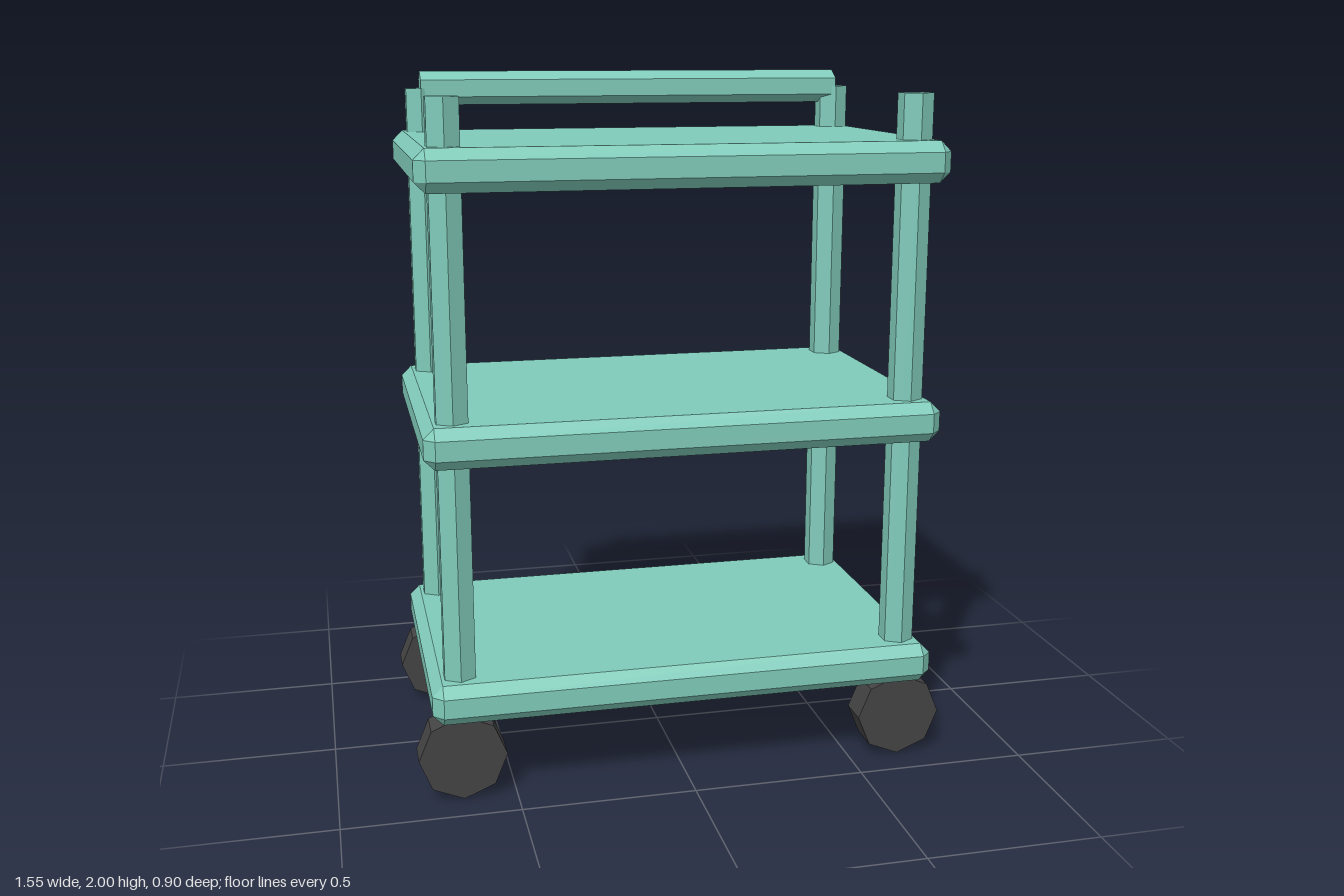
import * as THREE from 'three';
import { ConvexGeometry } from 'three/addons/geometries/ConvexGeometry.js';

const POST_X = 0.65, POST_Z = 0.354;

// Box with every edge and corner chamfered by c; hx, hy, hz are half sizes
function chamferedBox(hx, hy, hz, c) {
  const points = [];
  for (const x of [-1, 1]) for (const y of [-1, 1]) for (const z of [-1, 1]) {
    points.push(
      new THREE.Vector3(x * hx, y * (hy - c), z * (hz - c)),
      new THREE.Vector3(x * (hx - c), y * hy, z * (hz - c)),
      new THREE.Vector3(x * (hx - c), y * (hy - c), z * hz)
    );
  }
  return new ConvexGeometry(points);
}

export function createModel() {
  const group = new THREE.Group();
  group.name = 'trolley';

  const frameMaterial = new THREE.MeshStandardMaterial({ color: 0x80cbba, flatShading: true });
  frameMaterial.name = 'mint frame';
  const wheelMaterial = new THREE.MeshStandardMaterial({ color: 0x444444, flatShading: true });
  wheelMaterial.name = 'dark rubber';

  function add(name, geometry, material, x, y, z) {
    const mesh = new THREE.Mesh(geometry, material);
    mesh.name = name;
    mesh.position.set(x, y, z);
    group.add(mesh);
  }

  // Three trays
  const tray = chamferedBox(0.733, 0.058, 0.45, 0.03);
  ['lowerTray', 'middleTray', 'upperTray'].forEach((name, i) =>
    add(name, tray, frameMaterial, 0, 0.297 + i * 0.734, 0));

  // Corner posts and wheels
  const post = new THREE.CylinderGeometry(0.05, 0.05, 1.68, 6);
  const wheel = new THREE.CylinderGeometry(0.125, 0.125, 0.092, 8).rotateX(Math.PI / 2);
  for (const sx of [-1, 1]) for (const sz of [-1, 1]) {
    const corner = (sz > 0 ? 'front' : 'back') + (sx > 0 ? 'Left' : 'Right');
    add(corner + 'Post', post, frameMaterial, sx * POST_X, 1.11, sz * POST_Z);
    add(corner + 'Wheel', wheel, wheelMaterial, sx * POST_X, 0.125, sz * POST_Z);
  }

  // Push handle across the back posts, with a ridge on top
  const handle = new THREE.CylinderGeometry(0.05, 0.05, 2 * POST_X, 6)
    .rotateY(Math.PI / 6)
    .rotateZ(Math.PI / 2);
  add('handle', handle, frameMaterial, 0, 1.95, -POST_Z);

  return group;
}
